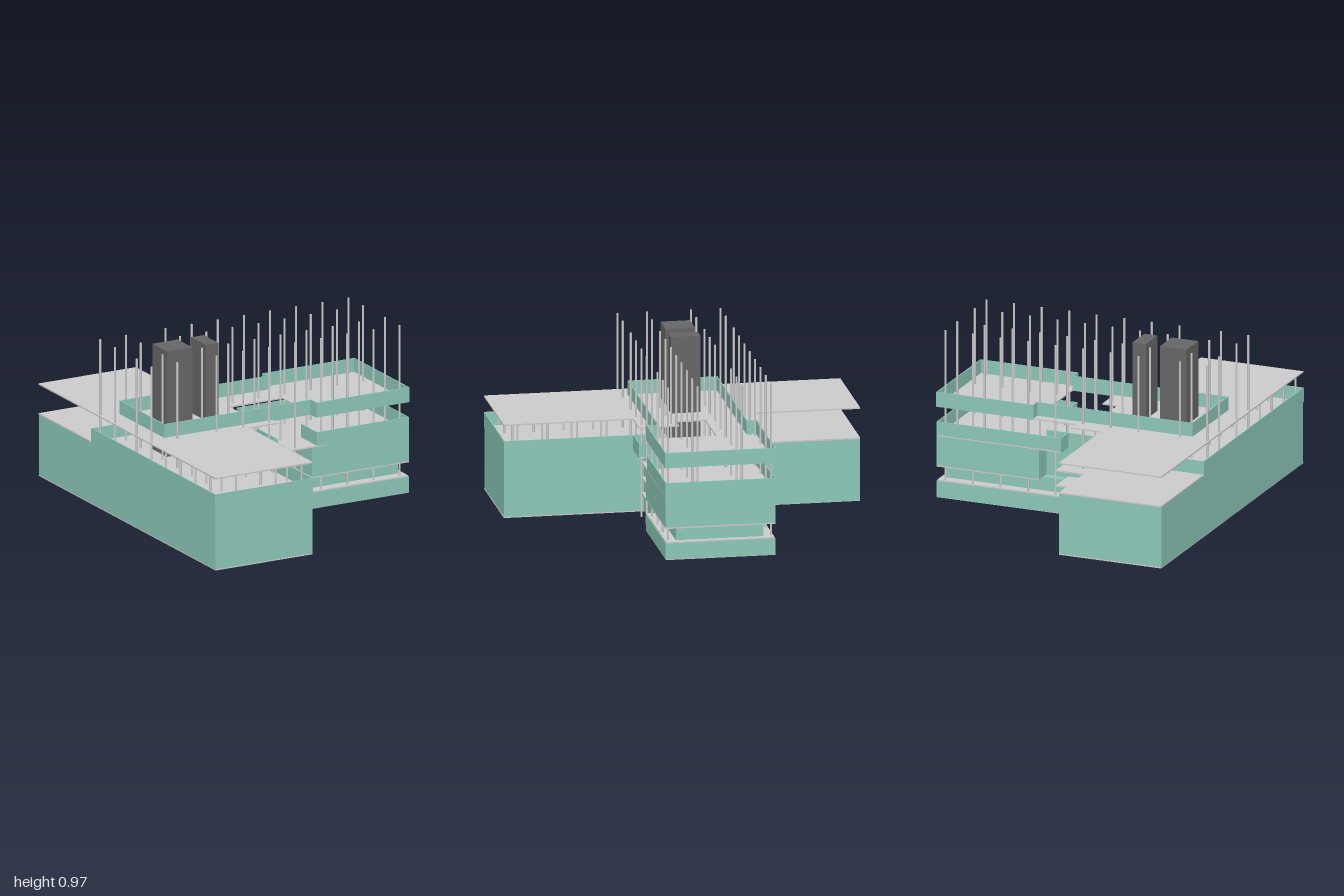
import * as THREE from 'three';

const grey = new THREE.MeshStandardMaterial({ color: 0xcccccc });
const green = new THREE.MeshStandardMaterial({ color: 0x8cc8b8 });
const dark = new THREE.MeshStandardMaterial({ color: 0x666666 });

// Box given by its limits on each axis
function block(parent, name, [x0, x1], [y0, y1], [z0, z1], material) {
  const mesh = new THREE.Mesh(new THREE.BoxGeometry(x1 - x0, y1 - y0, z1 - z0), material);
  mesh.position.set((x0 + x1) / 2, (y0 + y1) / 2, (z0 + z1) / 2);
  mesh.name = name;
  parent.add(mesh);
}

// Flat plate with an outline of [x, z] points
function slab(parent, name, outline, y, thickness = 0.008) {
  const shape = new THREE.Shape(outline.map(([x, z]) => new THREE.Vector2(x, -z)));
  const geometry = new THREE.ExtrudeGeometry(shape, { depth: thickness, bevelEnabled: false });
  geometry.rotateX(-Math.PI / 2);
  const mesh = new THREE.Mesh(geometry, grey);
  mesh.position.y = y;
  mesh.name = name;
  parent.add(mesh);
}

// Thin upright walls that follow axis-aligned [x, z] points
function walls(parent, name, path, y0, y1) {
  const group = new THREE.Group();
  group.name = name;
  const t = 0.003;
  for (let i = 1; i < path.length; i++) {
    const [ax, az] = path[i - 1], [bx, bz] = path[i];
    block(group, name + 'Panel', [Math.min(ax, bx) - t, Math.max(ax, bx) + t], [y0, y1],
      [Math.min(az, bz) - t, Math.max(az, bz) + t], green);
  }
  parent.add(group);
}

export function createModel() {
  const model = new THREE.Group();
  model.name = 'building';

  // Ground plate, long main block and its deck
  slab(model, 'groundPlate', [[-0.815, 1], [-0.2, 1], [-0.2, 0.21], [0.2, 0.21], [0.2, 0.27],
    [0.815, 0.27], [0.815, -0.34], [-0.2, -0.34], [-0.2, -1], [-0.815, -1]], 0, 0.006);
  block(model, 'mainBlock', [-0.815, -0.2], [0.002, 0.355], [-0.998, 0.998], green);
  block(model, 'mainDeck', [-0.815, -0.2], [0.355, 0.363], [-1, 0.998], grey);
  walls(model, 'mainParapet', [[-0.2, 0.21], [-0.2, 0.997], [-0.815, 0.997], [-0.815, -0.4],
    [-0.2, -0.4], [-0.2, -0.235]], 0.355, 0.44);

  // Wing: low base, recessed ground floor, upper storey
  block(model, 'wingBase', [0.2, 0.815], [0.002, 0.095], [-0.34, 0.275], green);
  block(model, 'wingBaseDeck', [0.202, 0.812], [0.095, 0.102], [-0.337, 0.272], grey);
  block(model, 'rearBase', [-0.2, 0.2], [0.002, 0.095], [-0.34, -0.235], green);
  block(model, 'rearBaseDeck', [-0.2, 0.202], [0.095, 0.102], [-0.337, -0.235], grey);
  block(model, 'groundFloor', [-0.2, 0.782], [0.004, 0.18], [-0.28, 0.212], green);
  block(model, 'wingStorey', [0.2, 0.815], [0.186, 0.356], [-0.34, 0.275], green);
  block(model, 'wingSoffit', [0.2, 0.815], [0.178, 0.186], [-0.34, 0.275], grey);
  block(model, 'entranceCore', [-0.2, -0.02], [0.18, 0.355], [-0.235, 0.212], green);
  block(model, 'coreBackWall', [-0.02, 0.2], [0.18, 0.44], [-0.238, -0.232], green);

  // Upper floor with its balcony and parapets
  slab(model, 'upperFloor', [[-0.2, 0.275], [-0.015, 0.275], [-0.015, 0.1], [0.07, 0.1], [0.07, 0.275],
    [0.812, 0.275], [0.812, -0.34], [0.07, -0.34], [0.07, -0.235], [-0.2, -0.235]], 0.355);
  walls(model, 'balconyParapet', [[-0.2, 0.272], [-0.018, 0.272], [-0.018, 0.05]], 0.355, 0.44);
  walls(model, 'wingParapet', [[0.235, 0.1], [0.235, 0.272], [0.812, 0.272], [0.812, -0.337],
    [0.07, -0.337], [0.07, -0.235], [-0.2, -0.235]], 0.355, 0.44);

  // Stepped landings at the front and the rear
  for (const y of [0.178, 0.266]) {
    block(model, 'frontLanding', [0.07, 0.2], [y, y + 0.009], [-0.1, 0.275], grey);
    block(model, 'rearLanding', [-0.2, 0.07], [y, y + 0.009], [-0.405, -0.235], grey);
  }
  block(model, 'rearBalcony', [-0.2, -0.02], [0.355, 0.363], [-0.405, -0.235], grey);

  // Roof plate open over the stairwell, and the roof parapet
  slab(model, 'roof', [[-0.815, 1], [-0.2, 1], [-0.2, 0.275], [-0.015, 0.275], [-0.015, 0.05],
    [-0.105, 0.05], [-0.105, -0.115], [0.23, -0.115], [0.23, 0.275], [0.815, 0.275], [0.815, -0.34],
    [-0.02, -0.34], [-0.02, -0.405], [-0.2, -0.405], [-0.2, -1], [-0.815, -1]], 0.527);
  walls(model, 'roofParapet', [[-0.697, 0.212], [0.23, 0.212], [0.23, 0.275], [0.813, 0.275],
    [0.813, -0.34], [0.235, -0.34], [0.235, -0.287], [-0.697, -0.287], [-0.697, 0.212]], 0.527, 0.613);

  // Two service towers
  block(model, 'wideTower', [-0.59, -0.43], [0.36, 0.973], [-0.115, 0.05], dark);
  block(model, 'narrowTower', [-0.345, -0.265], [0.36, 0.973], [-0.115, 0.05], dark);

  // Grid of tall columns, and short posts below the front roof
  const xs = [-0.803, -0.639, -0.39, -0.224, -0.059, 0.107, 0.271, 0.437, 0.603, 0.768];
  const column = (name, x, z, y0, y1) => {
    const mesh = new THREE.Mesh(new THREE.CylinderGeometry(0.006, 0.006, y1 - y0, 10), grey);
    mesh.position.set(x, (y0 + y1) / 2, z);
    mesh.name = name;
    model.add(mesh);
  };
  for (const x of xs)
    for (const z of [-0.325, -0.16, 0.088, 0.253]) column('column', x, z, 0.01, 0.973);
  for (const x of xs.slice(0, 4))
    for (const z of [0.42, 0.585, 0.752, 0.918]) column('roofPost', x, z, 0.36, 0.53);

  return model;
}
